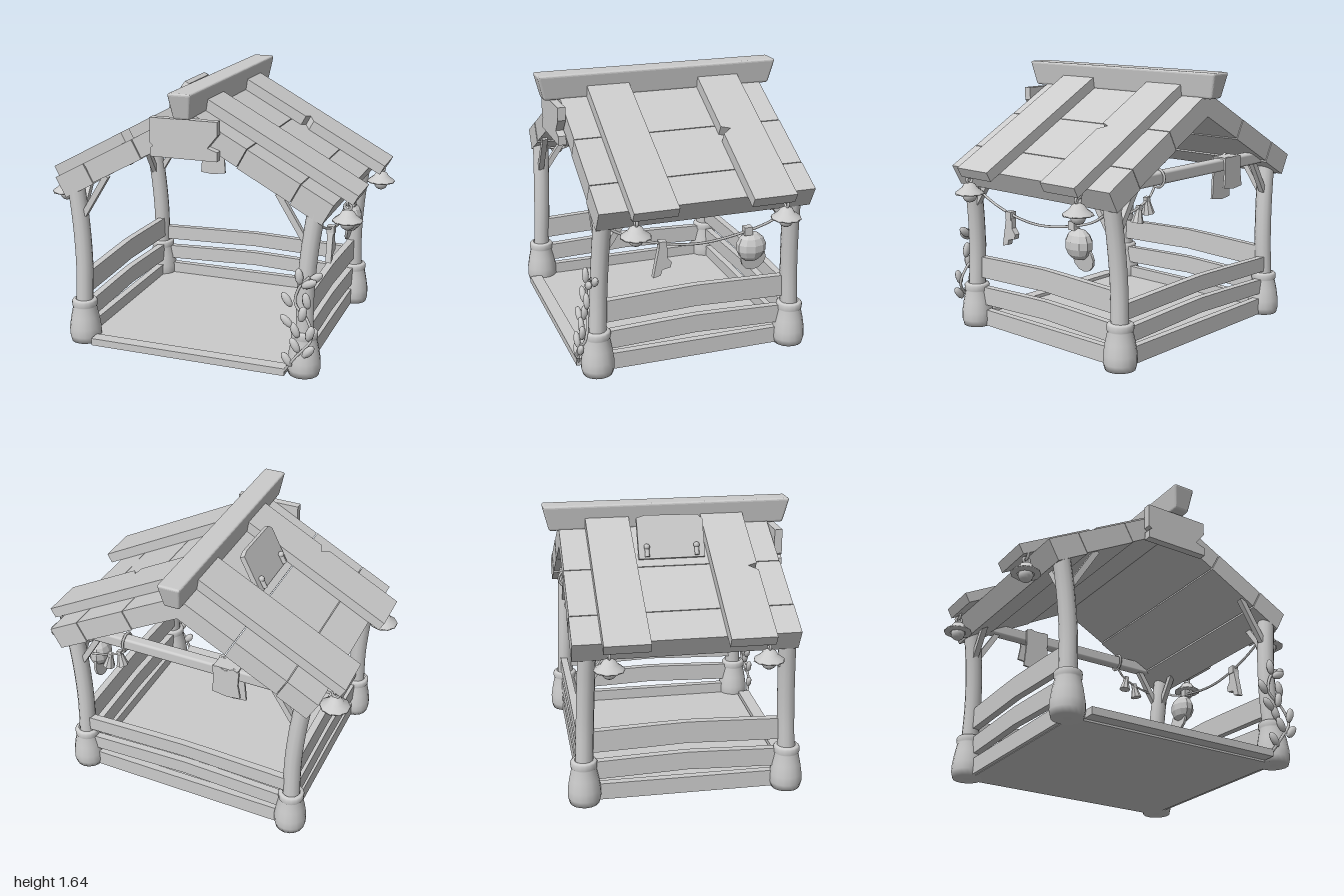
import * as THREE from 'three';
import { RoundedBoxGeometry } from 'three/addons/geometries/RoundedBoxGeometry.js';

const V = (x, y, z) => new THREE.Vector3(x, y, z);
const mat = new THREE.MeshStandardMaterial({ color: 0xcccccc, side: THREE.DoubleSide });
const flat = new THREE.MeshStandardMaterial({ color: 0xcccccc, side: THREE.DoubleSide, flatShading: true });

function add(parent, name, geo, x = 0, y = 0, z = 0, m = mat) {
  const mesh = new THREE.Mesh(geo, m);
  mesh.name = name;
  mesh.position.set(x, y, z);
  parent.add(mesh);
  return mesh;
}
const box = (w, h, d) => new THREE.BoxGeometry(w, h, d);
const tube = (pts, r, n = 24, k = 8) => new THREE.TubeGeometry(new THREE.CatmullRomCurve3(pts), n, r, k);

// Flat outline given thickness, centred on its depth
function slab(points, depth) {
  const shape = new THREE.Shape(points.map(p => new THREE.Vector2(p[0], p[1])));
  const geo = new THREE.ExtrudeGeometry(shape, { depth, bevelEnabled: false });
  return geo.translate(0, 0, -depth / 2);
}

// Square bar running from one point to another
function bar(parent, name, a, b, w) {
  const mesh = add(parent, name, box(w, w, a.distanceTo(b)));
  mesh.position.copy(a).lerp(b, 0.5);
  mesh.lookAt(b);
  return mesh;
}

// One pitch of the roof: heavy lengthwise planks, two wide boards across them
function roofSide(root, side) {
  const g = new THREE.Group();
  g.name = side > 0 ? 'leftRoof' : 'rightRoof';
  g.position.y = 1.52;
  g.rotation.z = -side * 0.497;
  root.add(g);
  const planks = [[0, 0.405, 0.125, 1.3], [0.41, 0.77, 0.13, 1.305], [0.775, 0.99, 0.138, 1.31]];
  for (const [a, b, t, len] of planks)
    add(g, 'roofPlank', box(b - a, t, len), side * (a + b) / 2, -t / 2, -0.02);
  for (const [z0, z1, cracked] of [[0.2, 0.465, side < 0], [-0.51, -0.245, side > 0]]) {
    const pts = [[0, -z0], [0, -z1]];
    if (cracked) pts.push([side * 0.48, -z1], [side * 0.5, -z1 + 0.055], [side * 0.54, -z1]);
    pts.push([side * 1.07, -z1], [side * 1.07, -z0]);
    add(g, 'roofBoard', slab(pts, 0.065).rotateX(-Math.PI / 2), 0, 0.0325, 0);
  }
}

// Rail that rises slightly toward its middle
function rail(root, name, half, y0, y1, rise, x, z, turn) {
  const m = add(root, name, slab([[-half, y0], [-half * 0.35, y0 + rise * 0.6], [0, y0 + rise],
    [half * 0.35, y0 + rise * 0.6], [half, y0], [half, y1], [half * 0.35, y1 + rise * 0.7],
    [0, y1 + rise], [-half * 0.35, y1 + rise * 0.7], [-half, y1]], 0.045), x, 0, z);
  m.rotation.y = turn;
}

function post(root, sx, sz) {
  const profile = [[0, 0], [0.09, 0], [0.1, 0.04], [0.099, 0.09], [0.088, 0.16], [0.074, 0.225],
    [0.079, 0.232], [0.08, 0.262], [0.072, 0.272], [0.055, 0.275]].map(p => new THREE.Vector2(...p));
  add(root, 'postBase', new THREE.LatheGeometry(profile, 16), sx * 0.715, 0, sz * 0.615);
  add(root, 'post', tube([V(sx * 0.715, 0.24, sz * 0.612), V(sx * 0.712, 0.5, sz * 0.602),
    V(sx * 0.728, 0.75, sz * 0.592), V(sx * 0.758, 0.99, sz * 0.582)], 0.053, 16, 12));
  bar(root, 'gableBrace', V(sx * 0.7, 0.82, sz * 0.6), V(sx * 0.54, 1.08, sz * 0.6), 0.035);
  bar(root, 'sideBrace', V(sx * 0.74, 0.8, sz * 0.56), V(sx * 0.74, 1.0, sz * 0.42), 0.035);
}

function lantern(root, x, z) {
  const g = new THREE.Group();
  g.name = 'lantern';
  g.position.set(x, 0, z);
  root.add(g);
  const shade = [[0.05, 0.9], [0.09, 0.903], [0.088, 0.912], [0.05, 0.94], [0.036, 0.962], [0.014, 0.972], [0, 0.975]];
  add(g, 'shade', new THREE.LatheGeometry(shade.map(p => new THREE.Vector2(...p)), 10));
  add(g, 'bulb', new THREE.SphereGeometry(0.045, 12, 8), 0, 0.895, 0);
  add(g, 'ring', new THREE.TorusGeometry(0.02, 0.009, 6, 12), 0, 0.99, 0);
  add(g, 'hook', new THREE.TorusGeometry(0.024, 0.009, 6, 12), 0, 1.025, 0).rotation.y = Math.PI / 2;
}

function vine(root) {
  const g = new THREE.Group();
  g.name = 'vine';
  root.add(g);
  add(g, 'stem', tube([V(0.61, 0.02, 0.7), V(0.69, 0.14, 0.73), V(0.78, 0.26, 0.7), V(0.75, 0.36, 0.68),
    V(0.67, 0.45, 0.665), V(0.69, 0.55, 0.66), V(0.75, 0.62, 0.655)], 0.009, 40, 6));
  // x, y, z, tilt
  const leaves = [[0.75, 0.58, 0.67, -1.1], [0.78, 0.61, 0.64, -0.9], [0.69, 0.62, 0.67, 0.1], [0.62, 0.47, 0.67, 0.6],
    [0.74, 0.48, 0.68, 0.2], [0.63, 0.35, 0.7, 0.8], [0.72, 0.4, 0.69, -0.2], [0.775, 0.3, 0.72, -0.3],
    [0.69, 0.22, 0.73, 0.5], [0.77, 0.19, 0.73, -0.7], [0.64, 0.12, 0.72, 0.6], [0.68, 0.3, 0.7, 0.4]];
  for (const [x, y, z, tilt] of leaves) {
    const leaf = add(g, 'leaf', new THREE.SphereGeometry(0.05, 8, 6), x, y, z);
    leaf.scale.set(0.52, 1, 0.4);
    leaf.rotation.z = tilt;
  }
}

export function createModel() {
  const root = new THREE.Group();
  root.name = 'shelter';

  // Floor and front step
  add(root, 'floor', box(1.4, 0.035, 1.27), 0, 0.0185, 0);
  add(root, 'frontStep', box(1.25, 0.045, 0.08), 0, 0.033, 0.68);

  // Corner posts and lanterns
  for (const sx of [1, -1]) {
    for (const sz of [1, -1]) post(root, sx, sz);
    lantern(root, sx * 0.905, 0.435);
    lantern(root, sx * 0.905, -0.475);
    roofSide(root, sx);
  }

  // Rails on both sides and the back
  for (const x of [0.7, -0.7]) {
    rail(root, 'sideBottomRail', 0.58, 0.005, 0.108, 0, x, 0, Math.PI / 2);
    rail(root, 'sideMiddleRail', 0.58, 0.14, 0.253, 0.02, x, 0, Math.PI / 2);
    rail(root, 'sideTopRail', 0.58, 0.315, 0.45, 0.02, x, 0, Math.PI / 2);
  }
  rail(root, 'backBottomRail', 0.68, 0.005, 0.11, 0, 0, -0.62, 0);
  rail(root, 'backMiddleRail', 0.68, 0.142, 0.235, 0.024, 0, -0.62, 0);
  rail(root, 'backTopRail', 0.68, 0.288, 0.383, 0.02, 0, -0.62, 0);

  // Ridge beam, narrower underneath
  const ridge = new RoundedBoxGeometry(0.145, 0.155, 1.535, 2, 0.015);
  const p = ridge.attributes.position;
  for (let i = 0; i < p.count; i++) {
    const t = 0.5 - p.getY(i) / 0.155;
    p.setX(i, p.getX(i) * (1 - 0.33 * t));
    p.setZ(i, p.getZ(i) * (1 - 0.05 * t));
  }
  ridge.computeVertexNormals();
  add(root, 'ridgeBeam', ridge, 0, 1.564, 0);

  // Blank gable board with a split end
  add(root, 'gableBoard', slab([[-0.215, 1.25], [0.2, 1.25], [0.2, 1.305], [0.14, 1.325], [0.2, 1.4], [0.2, 1.48],
    [-0.215, 1.48], [-0.215, 1.33], [-0.195, 1.315], [-0.215, 1.3]], 0.048), 0, 0, 0.661);

  // Small board propped on the roof with two pegs
  const hatch = new THREE.Group();
  hatch.name = 'roofHatch';
  hatch.position.set(-0.255, 1.475, -0.02);
  hatch.rotation.z = -0.46;
  root.add(hatch);
  add(hatch, 'hatchBoard', slab([[-0.2, -0.13], [0.2, -0.13], [0.2, 0.12], [0.15, 0.135], [-0.17, 0.13], [-0.2, 0.1]], 0.032))
    .rotation.y = Math.PI / 2;
  for (const z of [-0.15, 0.15]) {
    add(hatch, 'peg', new THREE.CylinderGeometry(0.014, 0.014, 0.06, 8), -0.026, -0.09, z);
    add(hatch, 'pegHead', new THREE.SphereGeometry(0.019, 8, 6), -0.028, -0.06, z);
  }

  // Back cross beam with a cloth draped over it
  add(root, 'crossBeam', new RoundedBoxGeometry(1.34, 0.075, 0.07, 2, 0.015), 0, 1.055, -0.6);
  for (const [z, low] of [[-0.555, 0.82], [-0.645, 0.9]])
    add(root, 'cloth', slab([[-0.385, low + 0.01], [-0.3, low], [-0.205, low + 0.015], [-0.215, 1.0], [-0.21, 1.1],
      [-0.25, 1.105], [-0.29, 1.085], [-0.34, 1.11], [-0.375, 1.09], [-0.37, 1.0]], 0.014), 0, 0, z);
  add(root, 'clothFold', box(0.155, 0.014, 0.1), -0.292, 1.094, -0.6);

  // Short cord from the beam to the back post, with two small bells
  add(root, 'cordLoop', new THREE.TorusGeometry(0.055, 0.008, 6, 16), 0.38, 1.055, -0.6).rotation.y = Math.PI / 2;
  add(root, 'cord', tube([V(0.38, 1.0, -0.58), V(0.42, 0.95, -0.58), V(0.52, 0.9, -0.58), V(0.68, 0.87, -0.59)], 0.007));
  for (const [x, y, tilt] of [[0.44, 0.89, -0.15], [0.525, 0.85, 0.2]]) {
    const bell = new THREE.Group();
    bell.name = 'bell';
    bell.position.set(x, y, -0.58);
    bell.rotation.z = tilt;
    root.add(bell);
    add(bell, 'bellBody', new THREE.CylinderGeometry(0.018, 0.038, 0.075, 8), 0, 0, 0, flat);
    add(bell, 'bellKnot', box(0.028, 0.03, 0.028), 0, 0.048, 0);
  }

  // Sagging line on one side with a sock and a cap
  add(root, 'sideLine', tube([V(0.76, 0.92, 0.56), V(0.76, 0.845, 0.42), V(0.76, 0.78, 0.22), V(0.76, 0.752, 0),
    V(0.76, 0.775, -0.22), V(0.76, 0.835, -0.45), V(0.76, 0.91, -0.57)], 0.008, 40, 6));
  add(root, 'sock', slab([[-0.255, 0.76], [-0.205, 0.76], [-0.205, 0.7], [-0.178, 0.665], [-0.185, 0.635], [-0.235, 0.625],
    [-0.245, 0.592], [-0.29, 0.58], [-0.275, 0.66]], 0.035), 0.76, 0, 0).rotation.y = Math.PI / 2;
  add(root, 'sockPeg', box(0.045, 0.05, 0.045), 0.76, 0.775, 0.232);
  add(root, 'capPeg', box(0.045, 0.05, 0.05), 0.76, 0.795, -0.3);
  add(root, 'capCrown', new THREE.SphereGeometry(0.093, 10, 7), 0.75, 0.687, -0.33, flat).scale.x = 0.75;
  const brim = add(root, 'capBrim', new THREE.CylinderGeometry(0.08, 0.08, 0.016, 12), 0.735, 0.605, -0.352);
  brim.rotation.z = Math.PI / 2 - 0.15;

  vine(root);
  return root;
}
